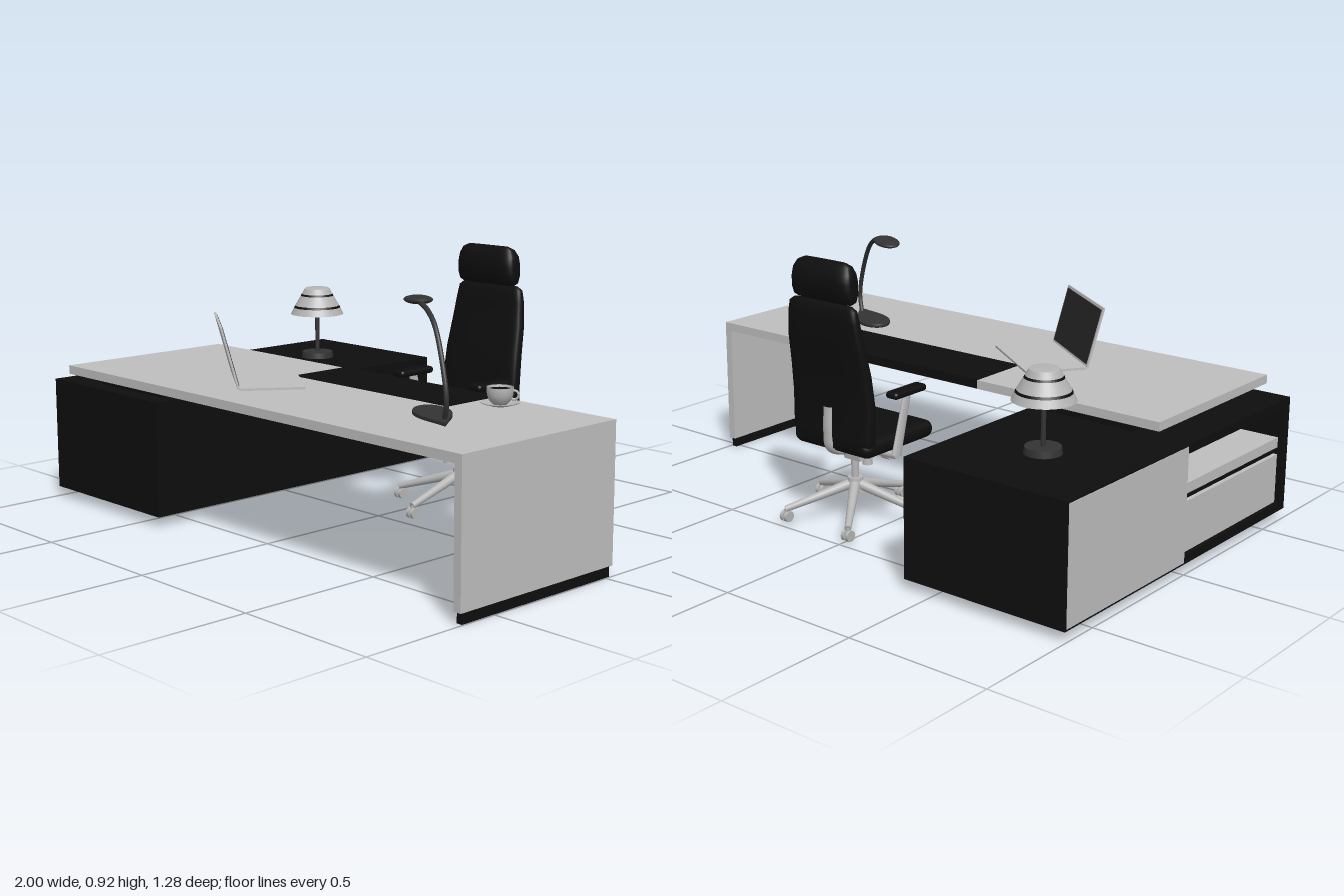
import * as THREE from 'three';
import { RoundedBoxGeometry } from 'three/addons/geometries/RoundedBoxGeometry.js';

const material = (name, color, side = THREE.FrontSide) => {
  const m = new THREE.MeshStandardMaterial({ color, side });
  m.name = name;
  return m;
};
const V = (x, y, z) => new THREE.Vector3(x, y, z);

// Rounded upholstery: superellipse rings stacked upward, rows of [y, z, halfWidth, halfDepth]
function cushion(rows, sides = 40) {
  const pos = [], idx = [];
  const power = (t) => Math.sign(t) * Math.pow(Math.abs(t), 0.55);
  rows.forEach(([y, z, w, d]) => {
    for (let i = 0; i < sides; i++) {
      const a = (i / sides) * Math.PI * 2;
      pos.push(w * power(Math.cos(a)), y, z + d * power(Math.sin(a)));
    }
  });
  for (let r = 0; r < rows.length - 1; r++) {
    for (let i = 0; i < sides; i++) {
      const a = r * sides + i, b = r * sides + ((i + 1) % sides);
      idx.push(a, a + sides, b, b, a + sides, b + sides);
    }
  }
  const last = rows.length - 1;
  [0, last].forEach((r) => {
    const c = pos.length / 3, o = r * sides;
    pos.push(0, rows[r][0], rows[r][1]);
    for (let i = 0; i < sides; i++) {
      const j = (i + 1) % sides;
      if (r === 0) idx.push(c, o + i, o + j);
      else idx.push(c, o + j, o + i);
    }
  });
  const g = new THREE.BufferGeometry();
  g.setAttribute('position', new THREE.Float32BufferAttribute(pos, 3));
  g.setIndex(idx);
  g.computeVertexNormals();
  return g;
}

export function createModel() {
  const model = new THREE.Group();
  const grey = material('lightGrey', 0xbebebe);
  const black = material('black', 0x0e0e0e);
  const charcoal = material('charcoal', 0x333333);
  const glass = material('screenGlass', 0x262626);
  const metal = material('metal', 0xb6b6b6);
  const china = material('china', 0xb4b4b4, THREE.DoubleSide);

  const add = (parent, name, geo, mat, x = 0, y = 0, z = 0) => {
    const m = new THREE.Mesh(geo, mat);
    m.name = name;
    m.position.set(x, y, z);
    parent.add(m);
    return m;
  };
  const group = (name, x = 0, y = 0, z = 0) => {
    const g = new THREE.Group();
    g.name = name;
    g.position.set(x, y, z);
    model.add(g);
    return g;
  };
  // Box given by its limits
  const block = (parent, name, mat, x0, x1, y0, y1, z0, z1) =>
    add(parent, name, new THREE.BoxGeometry(x1 - x0, y1 - y0, z1 - z0), mat,
      (x0 + x1) / 2, (y0 + y1) / 2, (z0 + z1) / 2);
  // Tapered round bar between two points
  const bar = (parent, name, mat, a, b, ra, rb = ra) => {
    const d = b.clone().sub(a);
    const m = add(parent, name, new THREE.CylinderGeometry(rb, ra, d.length(), 16), mat);
    m.position.copy(a).add(b).multiplyScalar(0.5);
    m.quaternion.setFromUnitVectors(V(0, 1, 0), d.normalize());
    return m;
  };
  const lathe = (pts, seg = 40) =>
    new THREE.LatheGeometry(pts.map(([r, y]) => new THREE.Vector2(r, y)), seg);

  // Desk
  const desk = group('desk');
  block(desk, 'deskTop', grey, -0.91, 1, 0.46, 0.49, -0.03, 0.64);
  block(desk, 'endPanel', grey, 0.972, 1, 0.035, 0.46, -0.03, 0.64);
  block(desk, 'endPanelFoot', black, 0.976, 0.996, 0, 0.035, -0.02, 0.63);
  block(desk, 'writingPad', black, -0.2, 0.52, 0.462, 0.493, -0.033, 0.2);

  // Side cabinet, open on the outer side
  const cabinet = group('cabinet');
  block(cabinet, 'cabinetBody', black, -0.72, -0.4, 0.035, 0.43, -0.64, 0.64);
  block(cabinet, 'cabinetRear', black, -1, -0.72, 0.035, 0.43, -0.64, 0);
  block(cabinet, 'cabinetFrontWall', black, -1, -0.72, 0.035, 0.43, 0.6, 0.64);
  block(cabinet, 'cabinetRoof', black, -1, -0.72, 0.4, 0.43, 0, 0.6);
  block(cabinet, 'cabinetFloor', black, -1, -0.72, 0.035, 0.065, 0, 0.6);
  block(cabinet, 'drawer', grey, -0.985, -0.72, 0.065, 0.235, 0.005, 0.6);
  block(cabinet, 'drawerGap', black, -0.97, -0.72, 0.235, 0.26, 0.005, 0.6);
  block(cabinet, 'shelf', grey, -0.985, -0.72, 0.26, 0.295, 0.005, 0.6);
  block(cabinet, 'door', grey, -1.002, -0.996, 0.042, 0.424, -0.633, -0.003);
  block(cabinet, 'plinth', black, -0.91, -0.48, 0.01, 0.035, -0.54, 0.54);
  block(cabinet, 'deskSpacer', black, -0.8, -0.45, 0.43, 0.46, 0, 0.58);

  // Table lamp with banded shade
  const lamp = group('tableLamp', -0.7, 0, -0.345);
  add(lamp, 'lampBase', new THREE.CylinderGeometry(0.057, 0.06, 0.022, 40), charcoal, 0, 0.441, 0);
  add(lamp, 'lampStem', new THREE.CylinderGeometry(0.008, 0.008, 0.16, 16), charcoal, 0, 0.53, 0);
  const shade = [[0.1, 0.597], [0.088, 0.622], [0.084, 0.63], [0.062, 0.667], [0.058, 0.674], [0.048, 0.693]];
  for (let i = 0; i < shade.length - 1; i++)
    add(lamp, i % 2 ? 'shadeBand' : 'shadePanel', lathe([shade[i], shade[i + 1]]), i % 2 ? black : china);
  add(lamp, 'shadeCap', lathe([[0.048, 0.693], [0.044, 0.697], [0, 0.697]]), china);
  add(lamp, 'shadeUnderside', lathe([[0, 0.6], [0.099, 0.6]]), china);

  // Desk lamp: teardrop foot, arched arm, leaf-shaped head
  const arcLamp = group('arcLamp');
  const leaf = new THREE.Shape();
  leaf.moveTo(0.14, 0);
  leaf.bezierCurveTo(0.08, 0.02, 0.03, 0.055, -0.03, 0.055);
  leaf.bezierCurveTo(-0.08, 0.055, -0.12, 0.03, -0.12, 0);
  leaf.bezierCurveTo(-0.12, -0.03, -0.08, -0.055, -0.03, -0.055);
  leaf.bezierCurveTo(0.03, -0.055, 0.08, -0.02, 0.14, 0);
  const footGeo = new THREE.ExtrudeGeometry(leaf, { depth: 0.006, bevelThickness: 0.004, bevelSize: 0.004, bevelSegments: 3, curveSegments: 16 });
  footGeo.rotateX(-Math.PI / 2);
  const foot = add(arcLamp, 'lampFoot', footGeo, charcoal, 0.6, 0.494, 0.34);
  foot.rotation.y = -0.57;
  const arm = new THREE.CatmullRomCurve3([V(0.685, 0.495, 0.385), V(0.708, 0.56, 0.4), V(0.685, 0.66, 0.392),
    V(0.62, 0.77, 0.36), V(0.56, 0.808, 0.33), V(0.49, 0.825, 0.295)]);
  add(arcLamp, 'lampArm', new THREE.TubeGeometry(arm, 48, 0.008, 12), charcoal);
  const headGeo = new THREE.SphereGeometry(1, 32, 16);
  headGeo.scale(0.075, 0.014, 0.044);
  const head = add(arcLamp, 'lampHead', headGeo, charcoal, 0.447, 0.824, 0.258);
  head.rotation.set(0, -0.57, 0.06);

  // Cup and saucer
  const cup = group('coffeeCup', 0.63, 0.49, 0.08);
  add(cup, 'saucer', lathe([[0, 0.003], [0.03, 0.003], [0.06, 0.012], [0.06, 0.015], [0.03, 0.007], [0, 0.007]]), china);
  add(cup, 'cup', lathe([[0, 0.008], [0.022, 0.008], [0.034, 0.02], [0.041, 0.038], [0.043, 0.062],
    [0.039, 0.062], [0.037, 0.04], [0.03, 0.02], [0, 0.014]]), china);
  add(cup, 'coffee', new THREE.CylinderGeometry(0.0375, 0.0375, 0.004, 32), black, 0, 0.053, 0);
  const handle = add(cup, 'cupHandle', new THREE.TorusGeometry(0.014, 0.004, 10, 24), china, 0.036, 0.038, -0.025);
  handle.rotation.y = 0.61;

  // Laptop, turned towards the chair
  const laptop = group('laptop', -0.265, 0.49, 0.407);
  laptop.rotation.y = 2.529;
  block(laptop, 'laptopBase', grey, -0.175, 0.175, 0, 0.008, 0, 0.215);
  const lid = new THREE.Group();
  lid.name = 'laptopLid';
  lid.position.y = 0.006;
  lid.rotation.x = -0.26;
  laptop.add(lid);
  block(lid, 'lidShell', grey, -0.175, 0.175, 0, 0.212, -0.006, 0.001);
  block(lid, 'screen', glass, -0.166, 0.166, 0.01, 0.203, 0, 0.003);

  // Office chair upholstery
  const chair = group('officeChair', 0.125, 0, 0);
  add(chair, 'backrest', cushion([[0.272, -0.365, 0.15, 0.02], [0.285, -0.372, 0.165, 0.034], [0.33, -0.378, 0.17, 0.033],
    [0.45, -0.378, 0.172, 0.03], [0.55, -0.39, 0.168, 0.029], [0.65, -0.41, 0.16, 0.028],
    [0.73, -0.42, 0.15, 0.025], [0.77, -0.422, 0.142, 0.021], [0.783, -0.422, 0.125, 0.009]]), black);
  add(chair, 'headrest', cushion([[0.785, -0.412, 0.115, 0.01], [0.795, -0.412, 0.128, 0.026], [0.82, -0.412, 0.13, 0.038],
    [0.855, -0.412, 0.128, 0.043], [0.885, -0.412, 0.124, 0.037], [0.908, -0.41, 0.112, 0.024], [0.918, -0.409, 0.09, 0.01]]), black);
  add(chair, 'seat', new RoundedBoxGeometry(0.34, 0.062, 0.345, 5, 0.03), black, 0, 0.299, -0.232);

  // Armrests on both sides
  [-1, 1].forEach((s) => {
    add(chair, 'armPad', new RoundedBoxGeometry(0.05, 0.024, 0.158, 4, 0.011), black, s * 0.183, 0.472, -0.226);
    const post = bar(chair, 'armPost', metal, V(s * 0.185, 0.262, -0.28), V(s * 0.185, 0.462, -0.225), 0.022, 0.018);
    post.scale.x = 0.45;
    bar(chair, 'armBracket', metal, V(s * 0.187, 0.262, -0.28), V(0, 0.25, -0.27), 0.012);
  });

  // Seat mechanism, lever and back support
  const plate = new THREE.Shape([[0.125, 0.262], [0.125, 0.278], [0.29, 0.268], [0.3, 0.245], [0.295, 0.21], [0.26, 0.21]]
    .map(([z, y]) => new THREE.Vector2(z, y)));
  const plateGeo = new THREE.ExtrudeGeometry(plate, { depth: 0.07, bevelEnabled: false });
  plateGeo.rotateY(Math.PI / 2);
  add(chair, 'seatMechanism', plateGeo, metal, -0.035, 0, 0);
  bar(chair, 'tiltLever', metal, V(0, 0.24, -0.24), V(-0.12, 0.235, -0.24), 0.007);
  bar(chair, 'tiltHandle', metal, V(-0.09, 0.235, -0.24), V(-0.125, 0.235, -0.24), 0.012);
  bar(chair, 'tensionKnob', metal, V(0, 0.175, -0.217), V(0, 0.24, -0.217), 0.018, 0.012);
  const spineCurve = new THREE.CatmullRomCurve3([V(0, 0.252, -0.28), V(0, 0.255, -0.35), V(0, 0.28, -0.4),
    V(0, 0.34, -0.409), V(0, 0.425, -0.405)]);
  const spineGeo = new THREE.TubeGeometry(spineCurve, 32, 0.011, 12);
  spineGeo.scale(1.8, 1, 1);
  add(chair, 'backSupport', spineGeo, metal);

  // Column, five legs and castors
  const base = new THREE.Group();
  base.name = 'chairBase';
  base.position.z = -0.28;
  chair.add(base);
  add(base, 'gasColumn', new THREE.CylinderGeometry(0.013, 0.013, 0.11, 24), metal, 0, 0.175, 0);
  add(base, 'hub', new THREE.CylinderGeometry(0.026, 0.03, 0.045, 24), metal, 0, 0.125, 0);
  for (let i = 0; i < 5; i++) {
    const a = (i / 5) * Math.PI * 2;
    const at = (r, y) => V(Math.sin(a) * r, y, Math.cos(a) * r);
    bar(base, 'baseLeg', metal, at(0.01, 0.125), at(0.24, 0.052), 0.018, 0.011);
    bar(base, 'castorStem', metal, at(0.237, 0.018), at(0.237, 0.055), 0.007);
    [-0.009, 0.009].forEach((o) => {
      const p = at(0.237, 0.027);
      bar(base, 'castorWheel', metal, V(p.x + o - 0.006, 0.027, p.z), V(p.x + o + 0.006, 0.027, p.z), 0.019);
    });
  }
  return model;
}
